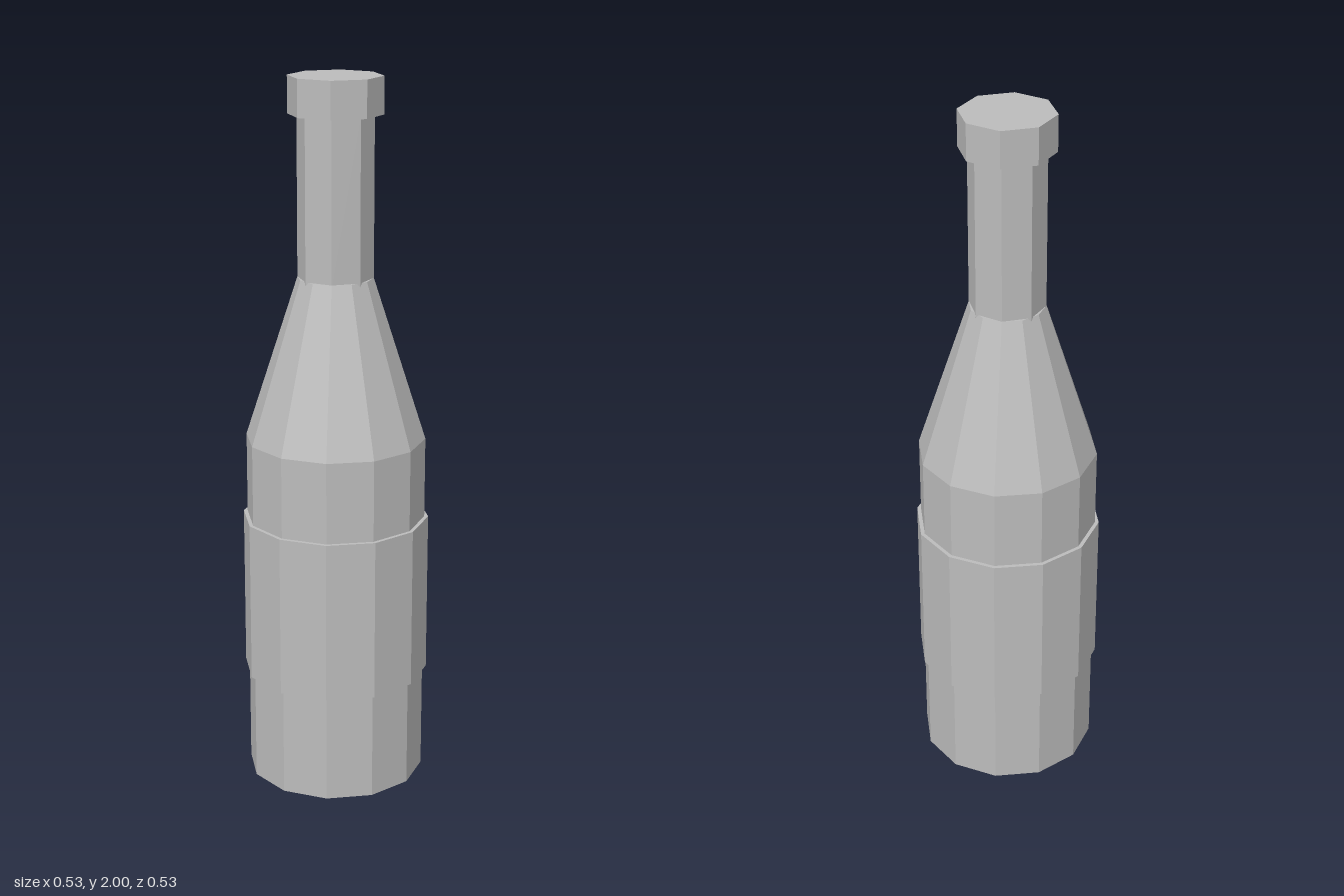
import * as THREE from 'three';

export function createModel() {
  const model = new THREE.Group();
  model.name = 'bottle';

  const grey = new THREE.MeshStandardMaterial({ color: 0xbcbcbc, flatShading: true });
  grey.name = 'grey';

  // Faceted section between two heights, with corners on the x and z axes
  function section(name, sides, bottomRadius, topRadius, y0, y1) {
    const geometry = new THREE.CylinderGeometry(topRadius, bottomRadius, y1 - y0, sides);
    const mesh = new THREE.Mesh(geometry, grey);
    mesh.name = name;
    mesh.position.y = (y0 + y1) / 2;
    model.add(mesh);
  }

  section('body', 12, 0.252, 0.252, 0, 1);
  section('labelBand', 12, 0.263, 0.263, 0.31, 0.77);
  section('shoulder', 12, 0.252, 0.105, 1, 1.455);
  section('neck', 8, 0.105, 0.105, 1.44, 1.9);
  section('cap', 8, 0.13, 0.13, 1.898, 2);

  return model;
}
